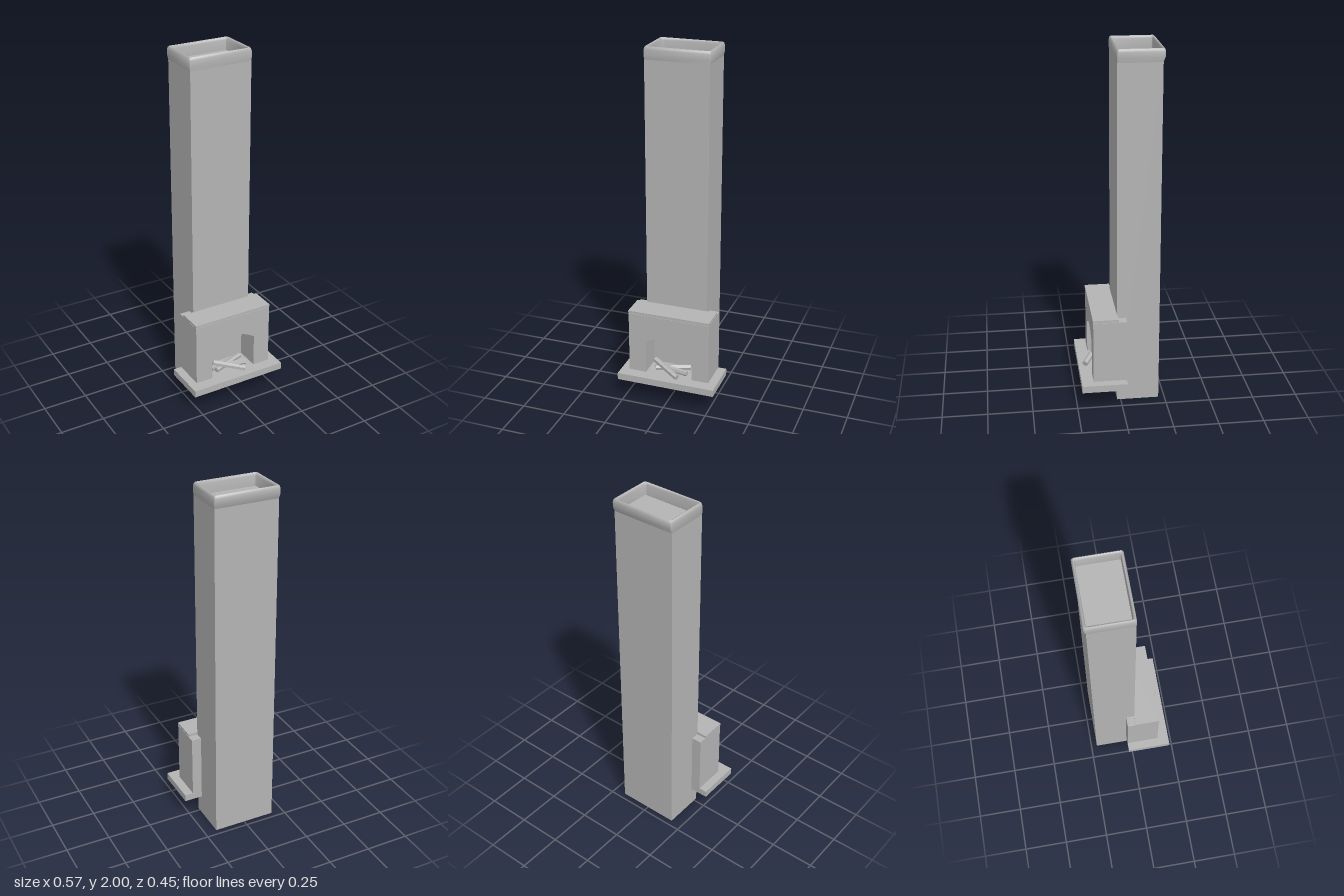
import * as THREE from 'three';
import { toCreasedNormals } from 'three/addons/utils/BufferGeometryUtils.js';

const stone = new THREE.MeshStandardMaterial({ color: 0xb4b4b4, side: THREE.DoubleSide });
stone.name = 'grey stone';

function add(group, name, geometry) {
  const mesh = new THREE.Mesh(geometry, stone);
  mesh.name = name;
  group.add(mesh);
  return mesh;
}

// Box given by its limits; openBottom leaves out the underside
function block([x0, x1], [y0, y1], [z0, z1], openBottom = false) {
  const g = new THREE.BoxGeometry(x1 - x0, y1 - y0, z1 - z0);
  g.translate((x0 + x1) / 2, (y0 + y1) / 2, (z0 + z1) / 2);
  if (openBottom) {
    const index = Array.from(g.index.array);
    index.splice(18, 6);
    g.setIndex(index);
    g.clearGroups();
  }
  return g;
}

// Rounded rectangle ring at height y
function ring(y, hx, z0, z1, r) {
  const points = [];
  const corners = [[hx - r, z1 - r], [-hx + r, z1 - r], [-hx + r, z0 + r], [hx - r, z0 + r]];
  corners.forEach(([cx, cz], c) => {
    for (let i = 0; i <= 4; i++) {
      const a = (c + i / 4) * Math.PI / 2;
      points.push([cx + r * Math.cos(a), y, cz + r * Math.sin(a)]);
    }
  });
  return points;
}

// Skin over successive rings
function loft(rings) {
  const n = rings[0].length, index = [];
  for (let k = 0; k < rings.length - 1; k++) {
    for (let i = 0; i < n; i++) {
      const a = k * n + i, b = k * n + (i + 1) % n;
      index.push(a, a + n, b, b, a + n, b + n);
    }
  }
  const g = new THREE.BufferGeometry();
  g.setAttribute('position', new THREE.Float32BufferAttribute(rings.flat(2), 3));
  g.setIndex(index);
  return toCreasedNormals(g, 0.8);
}

// Split log between two points
function log(group, name, from, to, radius) {
  const a = new THREE.Vector3(...from), b = new THREE.Vector3(...to);
  const dir = b.clone().sub(a);
  const g = toCreasedNormals(new THREE.CylinderGeometry(radius, radius, dir.length(), 6), 0.3);
  const mesh = add(group, name, g);
  mesh.position.copy(a).add(b).multiplyScalar(0.5);
  mesh.quaternion.setFromUnitVectors(new THREE.Vector3(0, 1, 0), dir.normalize());
}

export function createModel() {
  const model = new THREE.Group();
  model.name = 'fireplace';

  // Tall chimney shaft, open underneath; its top is the floor of the flue
  add(model, 'chimneyShaft', block([-0.18, 0.18], [0, 1.93], [-0.216, 0.02], true));

  // Rounded rim around the sunken flue
  add(model, 'chimneyRim', loft([
    ring(1.93, 0.18, -0.216, 0.02, 0.002),
    ring(1.955, 0.184, -0.226, 0.022, 0.006),
    ring(1.983, 0.184, -0.228, 0.022, 0.01),
    ring(1.995, 0.181, -0.225, 0.019, 0.01),
    ring(2.0, 0.176, -0.22, 0.015, 0.009),
    ring(1.996, 0.169, -0.215, 0.009, 0.008),
    ring(1.985, 0.166, -0.212, 0.006, 0.008),
    ring(1.93, 0.166, -0.212, 0.006, 0.008),
  ]));

  // Hearth slab, hollow below
  add(model, 'hearth', block([-0.285, 0.285], [0.115, 0.155], [-0.028, 0.225], true));

  // Surround with arched opening
  const front = new THREE.Shape();
  front.moveTo(-0.137, 0.155);
  front.lineTo(-0.238, 0.155);
  front.lineTo(-0.238, 0.513);
  front.lineTo(0.236, 0.513);
  front.lineTo(0.236, 0.155);
  front.lineTo(0.137, 0.155);
  front.lineTo(0.137, 0.347);
  front.bezierCurveTo(0.09, 0.378, 0.04, 0.398, 0, 0.398);
  front.bezierCurveTo(-0.04, 0.398, -0.09, 0.378, -0.137, 0.347);
  front.closePath();
  const surround = new THREE.ExtrudeGeometry(front, { depth: 0.186, bevelEnabled: false, curveSegments: 10 });
  surround.translate(0, 0, -0.028);
  add(model, 'surround', toCreasedNormals(surround, 0.5));

  // Mantel shelf on a thin shadow joint
  add(model, 'mantelJoint', block([-0.234, 0.232], [0.512, 0.518], [0.018, 0.155]));
  add(model, 'mantelShelf', block([-0.24, 0.237], [0.517, 0.53], [0.017, 0.16]));

  // Logs on the hearth
  const logs = new THREE.Group();
  logs.name = 'logs';
  model.add(logs);
  log(logs, 'leaningLog', [-0.1, 0.213, 0.1], [0.06, 0.175, 0.19], 0.017);
  log(logs, 'floorLog', [-0.1, 0.171, 0.09], [0.1, 0.175, 0.13], 0.016);
  log(logs, 'backLog', [-0.09, 0.171, 0.12], [0.1, 0.178, 0.06], 0.016);

  return model;
}
